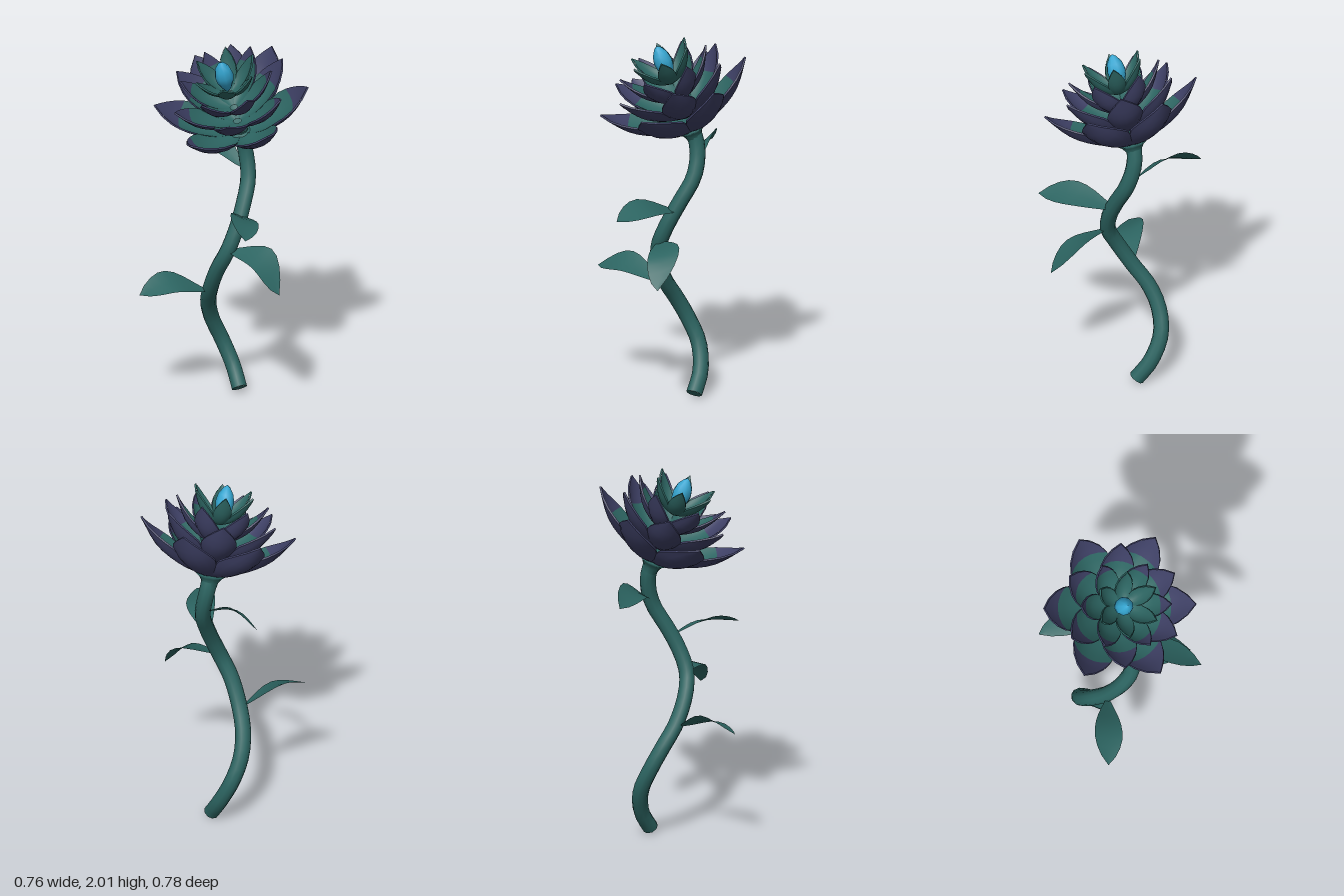
import * as THREE from 'three';

const mat = (name, color, side = THREE.FrontSide) => {
  const m = new THREE.MeshStandardMaterial({ color, side });
  m.name = name;
  return m;
};
const V = (a) => new THREE.Vector3(...a);

// Smooth surface from fn(u, v); the front is on the u x v side unless flipped
function grid(fn, nu, nv, flip = false) {
  const pos = [], idx = [];
  for (let i = 0; i <= nu; i++)
    for (let j = 0; j <= nv; j++) pos.push(...fn(i / nu, j / nv));
  for (let i = 0; i < nu; i++)
    for (let j = 0; j < nv; j++) {
      const a = i * (nv + 1) + j, b = a + nv + 1;
      if (flip) idx.push(a, b + 1, b, a, a + 1, b + 1);
      else idx.push(a, b, b + 1, a, b + 1, a + 1);
    }
  const g = new THREE.BufferGeometry();
  g.setAttribute('position', new THREE.Float32BufferAttribute(pos, 3));
  g.setIndex(idx);
  g.computeVertexNormals();
  return g;
}

export function createModel() {
  const green = mat('stemGreen', 0x2c6461);
  const leafGreen = mat('leafGreen', 0x2c6461, THREE.DoubleSide);
  const petalGreen = mat('petalTeal', 0x2c6461);
  const purple = mat('petalPurple', 0x3e4065);
  const cyan = mat('budBlue', 0x34a5d0);

  const root = new THREE.Group();
  const add = (parent, name, geo, m) => {
    const mesh = new THREE.Mesh(geo, m);
    mesh.name = name;
    parent.add(mesh);
    return mesh;
  };

  // Winding stem with a closed lower end
  const path = new THREE.CatmullRomCurve3([
    [-0.015, 0.015, -0.115], [-0.08, 0.12, -0.158], [-0.15, 0.26, -0.158],
    [-0.18, 0.39, -0.105], [-0.165, 0.51, -0.04], [-0.11, 0.63, 0.03],
    [-0.04, 0.77, 0.075], [0.02, 0.88, 0.078], [0.05, 1.0, 0.035],
    [0.056, 1.12, -0.03], [0.045, 1.25, -0.105], [0.018, 1.37, -0.13],
    [0.003, 1.45, -0.122], [0, 1.53, -0.095],
  ].map(V));
  const R = 0.043;
  add(root, 'stem', new THREE.TubeGeometry(path, 32, R, 10), green);
  const cap = add(root, 'stemEnd', new THREE.CircleGeometry(R, 10), green);
  cap.position.copy(path.getPoint(0));
  cap.lookAt(cap.position.clone().sub(path.getTangent(0)));

  // Leaves: base, middle and tip of the spine, then the half-width vector
  const leaves = [
    ['upperLeftLeaf', [-0.01, 1.3, -0.13], [-0.18, 1.38, -0.19], [-0.35, 1.34, -0.26], [-0.01, 0.045, -0.06]],
    ['upperRightLeaf', [0.06, 1.07, 0.0], [0.18, 1.12, 0.17], [0.285, 1.09, 0.345], [0.062, -0.03, -0.045]],
    ['lowerRightLeaf', [0.04, 0.89, 0.08], [0.24, 0.875, 0.085], [0.375, 0.72, 0.135], [0.01, 0.03, -0.085]],
    ['lowerLeftLeaf', [-0.13, 0.62, 0.06], [-0.25, 0.69, 0.22], [-0.362, 0.65, 0.36], [-0.06, 0.035, -0.045]],
  ];
  for (const [name, a, b, c, w] of leaves) {
    const spine = new THREE.CatmullRomCurve3([a, b, c].map(V));
    const width = V(w);
    const geo = grid((u, v) => {
      const s = Math.pow(Math.sin(Math.PI * Math.pow(u * 0.93 + 0.07, 1.25)), 0.8);
      const p = spine.getPoint(u).addScaledVector(width, (v * 2 - 1) * s);
      p.y += 0.012 * Math.abs(v * 2 - 1) * s;
      return p.toArray();
    }, 8, 2);
    add(root, name, geo, leafGreen);
  }

  // Flower head, leaning forward
  const flower = new THREE.Group();
  flower.name = 'flower';
  flower.position.set(0, 1.5, -0.1);
  flower.rotation.x = 0.385;
  root.add(flower);

  // Stacked rings: profile in (radius, height), start angle, end of the teal area, back colour
  const rings = [
    { name: 'outerPetal', p: [[0.02, 0.01], [0.16, 0.05], [0.3, 0.13], [0.416, 0.275]], start: -4, teal: 0.7, back: purple },
    { name: 'secondPetal', p: [[0.02, 0.09], [0.13, 0.135], [0.235, 0.21], [0.33, 0.35]], start: 26, teal: 0.7, back: purple },
    { name: 'thirdPetal', p: [[0.02, 0.19], [0.09, 0.22], [0.17, 0.285], [0.245, 0.42]], start: -4, teal: 0.82, back: purple },
    { name: 'innerPetal', p: [[0.015, 0.3], [0.06, 0.32], [0.115, 0.37], [0.172, 0.475]], start: 26, teal: 1, back: petalGreen },
  ];
  const THICK = 0.01;
  for (const { name, p, start, teal, back } of rings) {
    const profile = new THREE.CatmullRomCurve3(p.map(([r, h]) => new THREE.Vector3(r, h, 0)));
    const cup = 1 / p[3][0];
    // Point on a petal; d = 0 is the inner face, d = 1 the back
    const at = (u, v, d) => {
      const c = profile.getPoint(u), t = profile.getTangent(u);
      const k = Math.max(0, (u - 0.52) / 0.48);
      const ang = THREE.MathUtils.degToRad(30.5) * (1 - Math.pow(k, 1.35)) * (v * 2 - 1);
      const lift = Math.pow(c.x * ang, 2) * cup;
      const r = Math.max(0.002, c.x - lift * 0.4 + t.y * THICK * d);
      return [r * Math.sin(ang), c.y + lift - t.x * THICK * d, r * Math.cos(ang)];
    };
    const parts = [
      ['Centre', grid((u, v) => at(u * teal, v, 0), 7, 6), petalGreen],
      ['Back', grid((u, v) => at(u, v, 1), 10, 6, true), back],
      ['RimA', grid((u, w) => at(u, 1, w), 10, 1), back],
      ['RimB', grid((u, w) => at(u, 0, w), 10, 1, true), back],
    ];
    if (teal < 1)
      parts.push(['Border', grid((u, v) => at(teal + u * (1 - teal), v, 0), 5, 6), purple]);
    for (let i = 0; i < 6; i++) {
      const petal = new THREE.Group();
      petal.name = name + (i + 1);
      petal.rotation.y = THREE.MathUtils.degToRad(start + i * 60);
      for (const [n, g, m] of parts) add(petal, name + n, g, m);
      flower.add(petal);
    }
  }

  // Pointed bud
  const lathe = (pts, n) => new THREE.LatheGeometry(pts.map(([x, y]) => new THREE.Vector2(x, y)), n);
  const bud = add(flower, 'bud', lathe(
    [[0, 0.3], [0.025, 0.33], [0.046, 0.38], [0.051, 0.42], [0.042, 0.462], [0.02, 0.497], [0, 0.512]], 9), cyan);
  bud.position.set(-0.014, 0, -0.004);

  // Flared calyx below the petals
  add(flower, 'calyx', lathe([[0.04, -0.06], [0.046, -0.03], [0.062, -0.006], [0.09, 0.014], [0, 0.03]], 10), green);

  return root;
}
